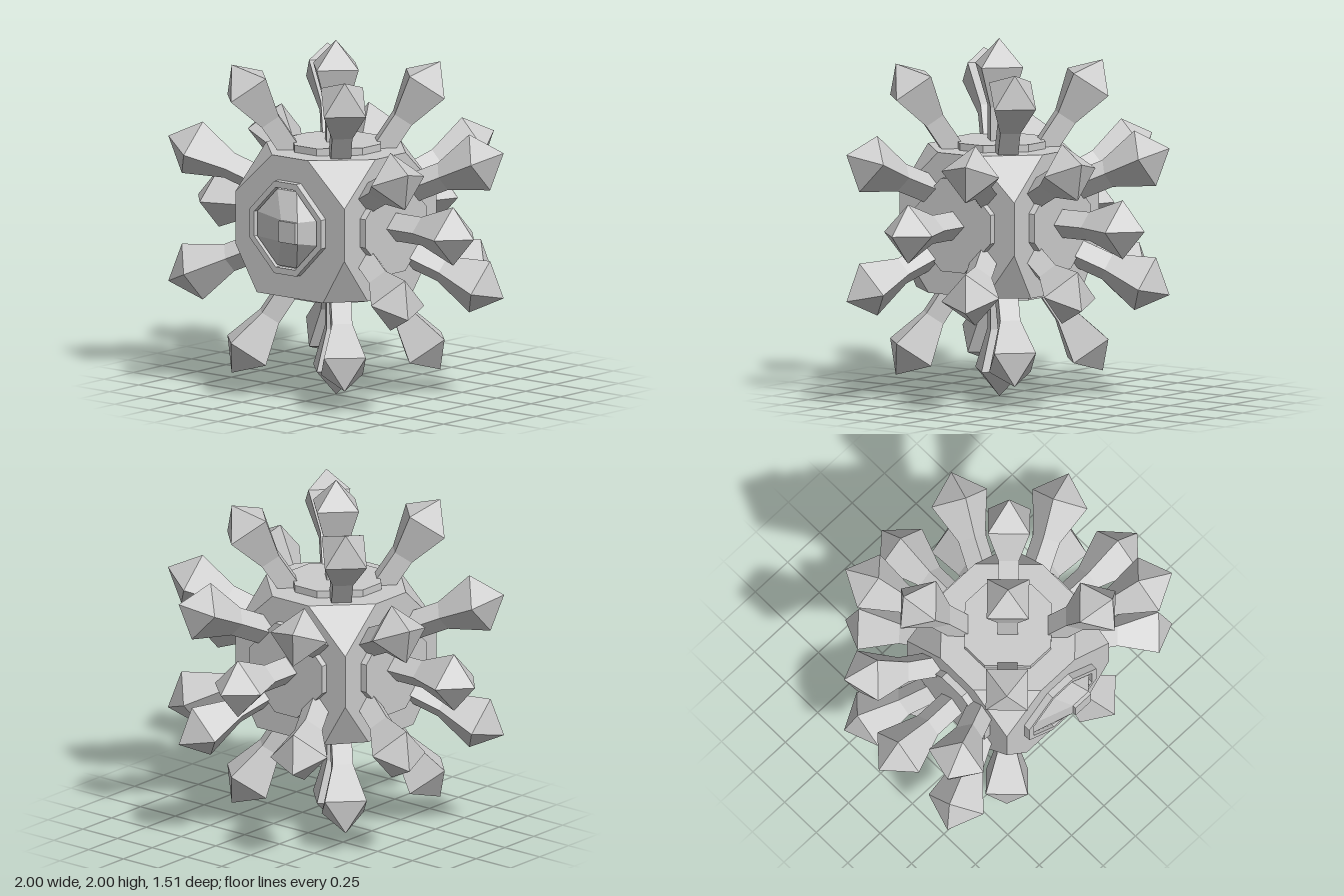
import * as THREE from 'three';
import { ConvexGeometry } from 'three/addons/geometries/ConvexGeometry.js';

const material = new THREE.MeshStandardMaterial({ color: 0xcccccc, flatShading: true });
const UP = new THREE.Vector3(0, 1, 0);
const HALF = 0.395; // half size of the body

function mesh(name, geometry) {
  const m = new THREE.Mesh(geometry, material);
  m.name = name;
  return m;
}

// Eight corners of a square with clipped corners
function octagon(half, flat) {
  return [[flat, half], [-flat, half], [-half, flat], [-half, -flat],
    [-flat, -half], [flat, -half], [half, -flat], [half, flat]]
    .map(([x, y]) => new THREE.Vector2(x, y));
}

// Octagonal plate lying on a face whose outward direction is +y
function plateGeometry(hole) {
  const shape = new THREE.Shape(octagon(0.26, 0.08));
  if (hole) shape.holes.push(new THREE.Path(octagon(0.225, 0.07).reverse()));
  return new THREE.ExtrudeGeometry(shape, { depth: 0.04, bevelEnabled: false })
    .rotateX(-Math.PI / 2).translate(0, HALF, 0);
}

// Four-sided shaft flaring into a pointed head
function spikeGeometry(extra) {
  const profile = [[0.08, 0.35], [0.08, 0.62 + extra], [0.165, 0.85 + extra], [0, 1 + extra]]
    .map(([r, y]) => new THREE.Vector2(r, y));
  return new THREE.LatheGeometry(profile, 4);
}

// Cube with its corners cut off, more deeply at the top
function bodyGeometry() {
  const points = [];
  for (const sx of [-1, 1]) for (const sy of [-1, 1]) for (const sz of [-1, 1]) {
    const cut = sy > 0 ? [0.265, 0.24, 0.265] : [0.155, 0.255, 0.2];
    for (let axis = 0; axis < 3; axis++) {
      const p = [sx * HALF, sy * HALF, sz * HALF];
      p[axis] -= Math.sign(p[axis]) * cut[axis];
      points.push(new THREE.Vector3(...p));
    }
  }
  return new ConvexGeometry(points);
}

// Faceted dome whose small flat top sits off to one side
function eyeGeometry() {
  const base = octagon(0.22, 0.07).map(p => new THREE.Vector3(p.x, p.y, HALF));
  const rim = octagon(0.215, 0.07).map(p => new THREE.Vector3(p.x, p.y, HALF + 0.025));
  const top = [];
  for (const x of [0.02, 0.14]) for (const y of [-0.06, 0.06]) {
    top.push(new THREE.Vector3(x, y, 0.495));
  }
  return new ConvexGeometry([...base, ...rim, ...top]);
}

export function createModel() {
  const model = new THREE.Group();
  model.name = 'spikedCube';
  const core = new THREE.Group();
  core.name = 'core';
  core.position.set(0, 1, 0.24);
  model.add(core);
  core.add(mesh('body', bodyGeometry()));

  // Five faces each carry a plate, a straight spike and four leaning spikes
  const plate = plateGeometry(false);
  const straight = spikeGeometry(0);
  const leaning = spikeGeometry(0.045);
  const faces = {
    top: [0, 0], bottom: [Math.PI, 0], back: [-Math.PI / 2, 0],
    left: [0, -Math.PI / 2], right: [0, Math.PI / 2],
  };
  for (const [name, [rx, rz]] of Object.entries(faces)) {
    const face = new THREE.Group();
    face.name = name + 'Spikes';
    face.rotation.set(rx, 0, rz);
    face.add(mesh('plate', plate), mesh('straightSpike', straight));
    for (const sx of [-1, 1]) for (const sz of [-1, 1]) {
      const spike = mesh('leaningSpike', leaning);
      const direction = new THREE.Vector3(sx * 0.41, 0.87, sz * 0.41).normalize();
      spike.quaternion.setFromUnitVectors(UP, direction);
      face.add(spike);
    }
    core.add(face);
  }

  // Front face: rim, eye dome and square pupil
  const front = new THREE.Group();
  front.name = 'eye';
  const rim = mesh('eyeRim', plateGeometry(true));
  rim.rotation.x = Math.PI / 2;
  const pupil = mesh('pupil', new THREE.BoxGeometry(0.12, 0.12, 0.04));
  pupil.position.set(0.08, 0, 0.495);
  front.add(rim, mesh('eyeDome', eyeGeometry()), pupil);
  core.add(front);

  return model;
}
